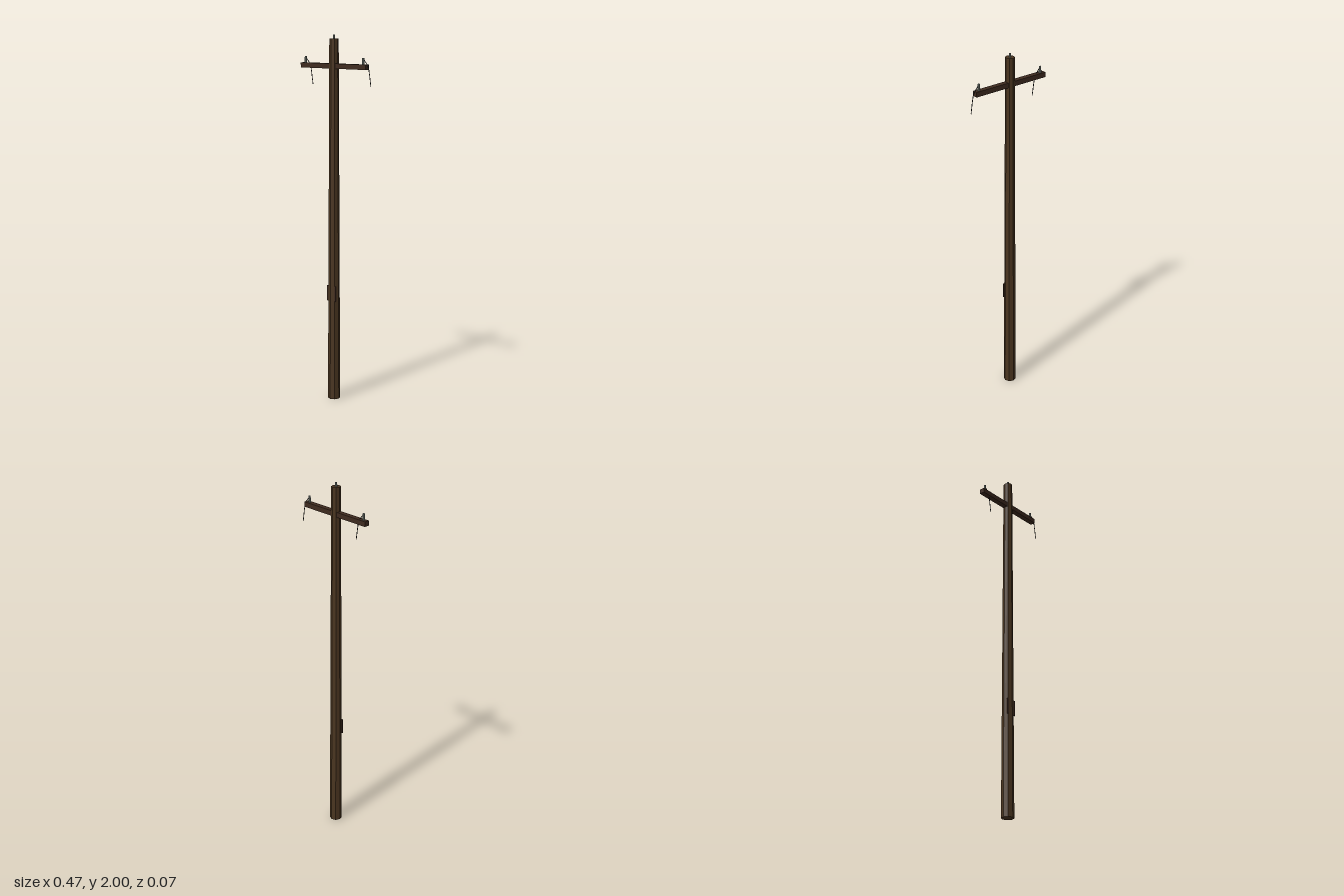
import * as THREE from 'three';

const POLE_X = -0.015;
const material = (color, flatShading = true) => {
  const m = new THREE.MeshStandardMaterial({ flatShading });
  m.color.set(color);
  return m;
};

export function createModel() {
  const model = new THREE.Group();
  const poleWood = material(0x4a3520);
  const armWood = material(0x3f2b1f);
  const ceramic = material(0x808880);
  const cable = material(0x111111);

  const add = (name, geometry, mat, x, y, z = 0) => {
    const mesh = new THREE.Mesh(geometry, mat);
    mesh.name = name;
    mesh.position.set(x, y, z);
    model.add(mesh);
    return mesh;
  };

  // Tapered eight-sided pole
  add('pole', new THREE.CylinderGeometry(0.025, 0.034, 1.98, 8), poleWood, POLE_X, 0.99);

  // Crossarm through the upper pole
  add('crossarm', new THREE.BoxGeometry(0.446, 0.027, 0.029), armWood, POLE_X + 0.0005, 1.836);

  // Small plate let into the front of the pole
  add('plate', new THREE.BoxGeometry(0.062, 0.085, 0.006), armWood, POLE_X, 0.6, 0.0205);

  // Insulators on the pole top and both arm ends
  const insulator = new THREE.CylinderGeometry(0.0055, 0.007, 0.036, 8);
  add('topInsulator', insulator, ceramic, POLE_X, 1.982);

  // Drooping loose wires, both bending toward +x
  const path = new THREE.CurvePath();
  const points = [[0, 1.88], [0.034, 1.84], [0.042, 1.795], [0.051, 1.735]]
    .map(([x, y]) => new THREE.Vector3(x, y, 0));
  for (let i = 1; i < points.length; i++) path.add(new THREE.LineCurve3(points[i - 1], points[i]));
  const wire = new THREE.TubeGeometry(path, 18, 0.002, 5, false);
  cable.side = THREE.DoubleSide;

  for (const [side, s] of [['right', -1], ['left', 1]]) {
    const x = POLE_X + s * 0.1985;
    add(side + 'Insulator', insulator, ceramic, x, 1.866);
    add(side + 'Wire', wire, cable, x, 0);
  }
  return model;
}
